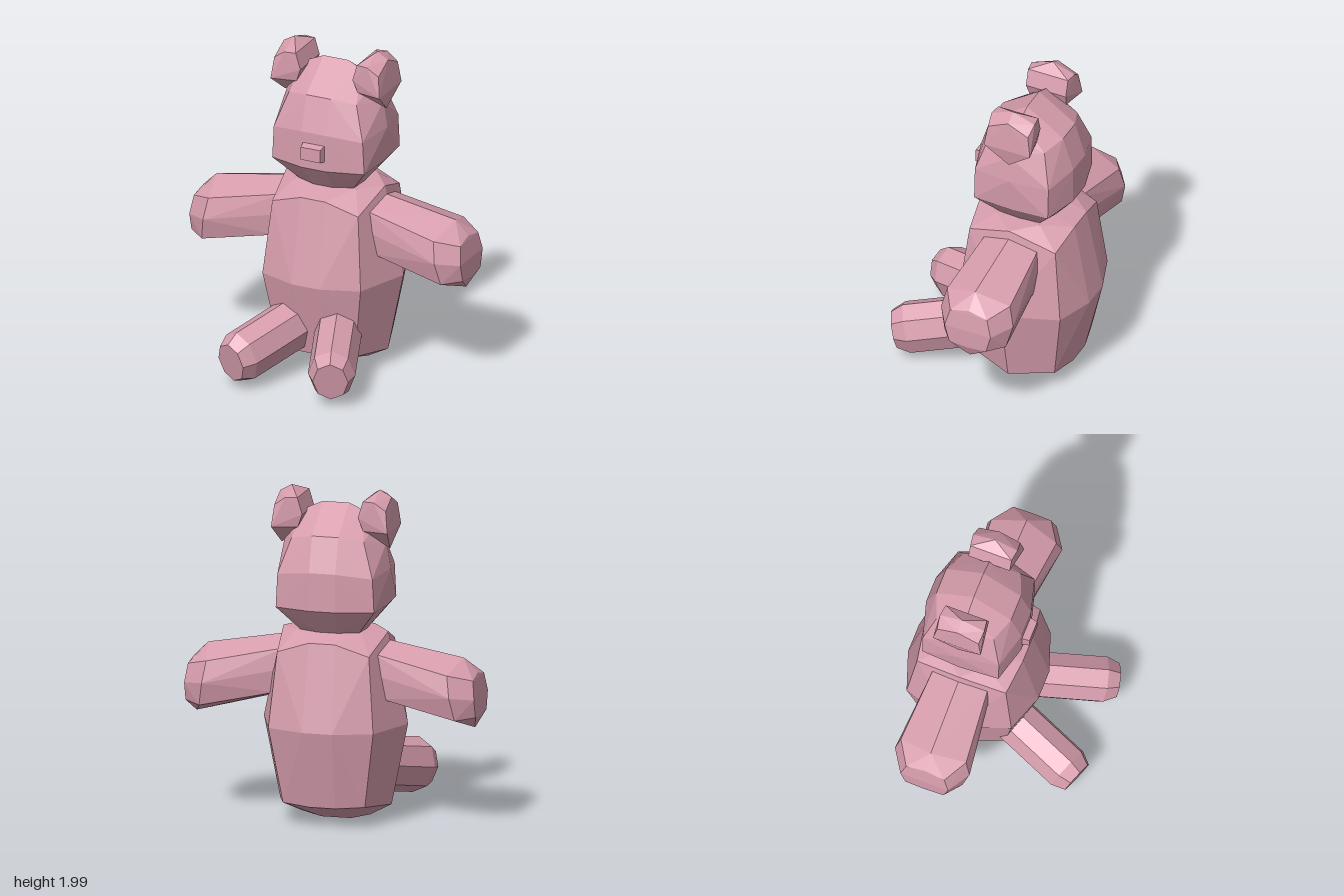
import * as THREE from 'three';
import { ConvexGeometry } from 'three/addons/geometries/ConvexGeometry.js';

const MID_Z = -0.19; // depth of the body's centre plane

export function createModel() {
  const group = new THREE.Group();
  const pink = new THREE.MeshStandardMaterial({ color: 0xd79dad, flatShading: true });
  pink.name = 'dusty pink';

  function add(name, geometry) {
    const mesh = new THREE.Mesh(geometry, pink);
    mesh.name = name;
    group.add(mesh);
    return mesh;
  }

  // Faceted solid from corner points, mirrored front to back and over the given sides
  function solid(name, points, sides) {
    const corners = [];
    for (const [x, y, z] of points) {
      for (const s of sides) {
        corners.push(new THREE.Vector3(s * x, y, MID_Z + z));
        if (z !== 0) corners.push(new THREE.Vector3(s * x, y, MID_Z - z));
      }
    }
    return add(name, new ConvexGeometry(corners));
  }

  // Body: each row is a ring of front, corner and side points
  solid('body', [
    [0.09, 0.01, 0], [0.21, 0.04, 0],
    [0.08, 0.13, 0.3], [0.25, 0.14, 0.26], [0.34, 0.11, 0],
    [0.09, 0.6, 0.41], [0.32, 0.6, 0.33], [0.44, 0.6, 0],
    [0.08, 1.12, 0.31], [0.28, 1.05, 0.28], [0.32, 1.15, 0],
    [0.08, 1.16, 0.18], [0.2, 1.16, 0.14],
  ], [1, -1]);

  // Head
  solid('head', [
    [0.06, 1.16, 0.18], [0.18, 1.16, 0.13], [0.19, 1.16, 0],
    [0.08, 1.31, 0.3], [0.3, 1.31, 0.24], [0.315, 1.31, 0],
    [0.08, 1.54, 0.3], [0.29, 1.51, 0.24], [0.335, 1.53, 0],
    [0.08, 1.75, 0.235], [0.22, 1.72, 0.18], [0.31, 1.69, 0],
    [0.08, 1.91, 0], [0.17, 1.87, 0], [0.25, 1.8, 0],
  ], [1, -1]);

  // Nose: a small block tapering forward
  const nose = [];
  for (const s of [1, -1]) {
    for (const [x, y, z] of [[0.075, 1.365, 0.08], [0.075, 1.48, 0.08],
      [0.063, 1.38, 0.155], [0.063, 1.46, 0.155]]) {
      nose.push(new THREE.Vector3(s * x, y, z));
    }
  }
  add('nose', new ConvexGeometry(nose));

  // Leg along its own z, with a chamfered foot end at z = 0
  const legCorners = [];
  for (const [z, r] of [[-0.55, 1], [-0.08, 1], [0, 0.75]]) {
    for (let i = 0; i < 8; i++) {
      const a = (i * Math.PI) / 4;
      legCorners.push(new THREE.Vector3(0.14 * r * Math.sin(a), 0.165 * r * Math.cos(a), z));
    }
  }
  const legGeometry = new ConvexGeometry(legCorners);

  for (const s of [1, -1]) {
    const side = s > 0 ? 'left' : 'right';

    // Ears
    solid(side + 'Ear', [
      [0.27, 2, 0], [0.2, 1.95, 0.13], [0.27, 1.95, 0.14],
      [0.34, 1.96, 0], [0.34, 1.9, 0.13],
      [0.355, 1.77, 0.15], [0.33, 1.65, 0],
      [0.17, 1.85, 0.13], [0.2, 1.77, 0.12],
    ], [s]);

    // Arms: shoulder ring, wrist ring, then the paw's end
    solid(side + 'Arm', [
      [0.27, 1.11, 0], [0.27, 1.05, 0.17], [0.3, 0.92, 0.185], [0.32, 0.78, 0.17], [0.34, 0.74, 0],
      [0.78, 1.02, 0], [0.735, 0.95, 0.205], [0.755, 0.82, 0.235], [0.78, 0.68, 0.2], [0.85, 0.605, 0],
      [0.865, 0.935, 0], [0.87, 0.91, 0.12], [0.885, 0.8, 0.15], [0.885, 0.69, 0.12], [0.885, 0.68, 0],
    ], [s]);

    // Legs, splayed outward and sloping down
    const leg = add(side + 'Leg', legGeometry);
    leg.position.set(s * 0.325, 0.185, 0.555);
    leg.rotation.set(0.2, s * 0.36, 0, 'YXZ');
  }

  return group;
}
